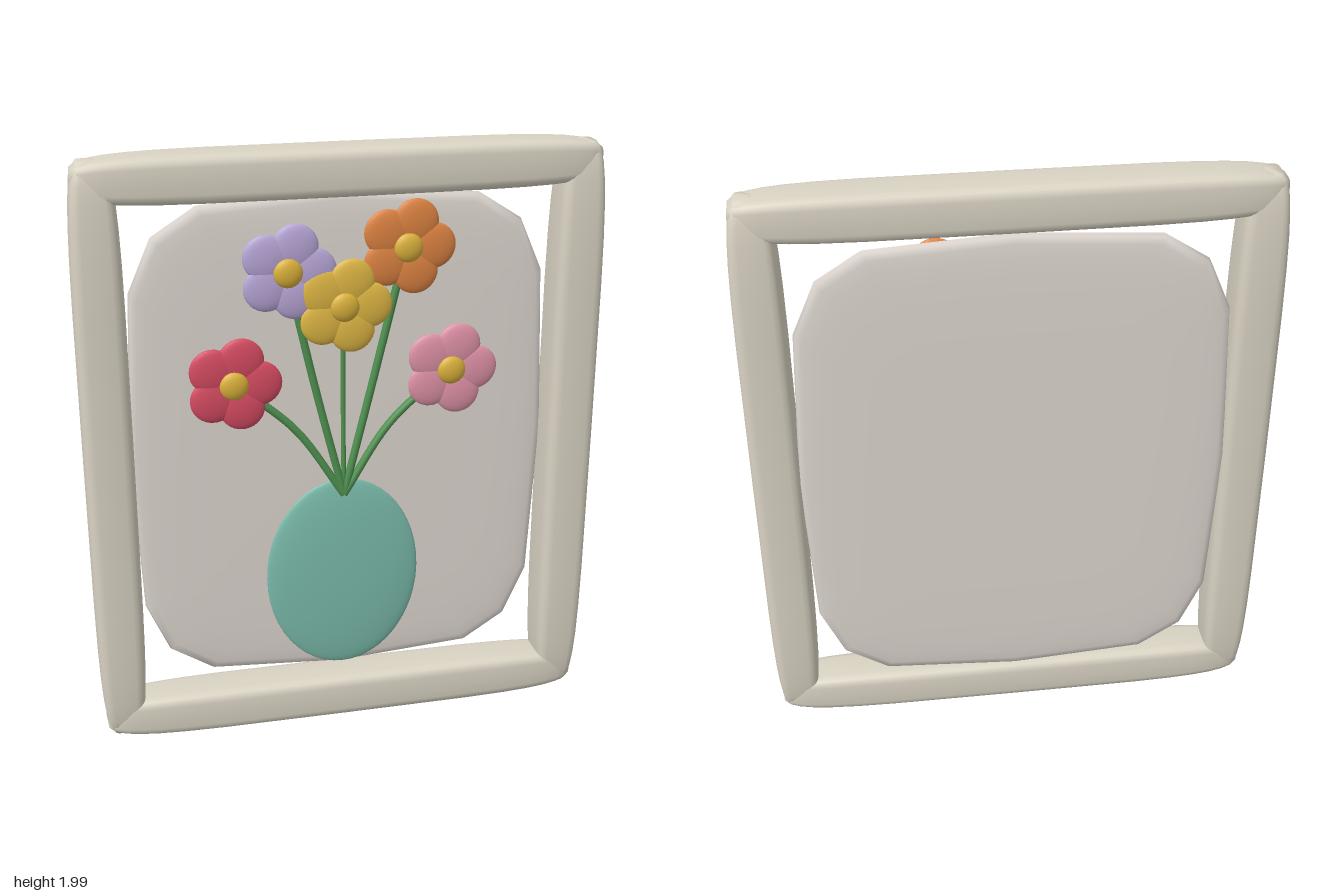
import * as THREE from 'three';
import { mergeVertices } from 'three/addons/utils/BufferGeometryUtils.js';

const spow = (v, e) => Math.sign(v) * Math.pow(Math.abs(v), e);

// Rounded block: a sphere pushed toward a box. Its poles lie on the y axis.
function roundedBlock(hx, hy, hz, axisPower, ringPower, ringSegments = 16, rows = 16) {
  const g = new THREE.SphereGeometry(1, ringSegments, rows);
  g.deleteAttribute('uv');
  g.deleteAttribute('normal');
  const p = g.attributes.position;
  for (let i = 0; i < p.count; i++) {
    const x = p.getX(i), y = p.getY(i), z = p.getZ(i);
    const r = Math.hypot(x, z);
    const s = r < 1e-6 ? 0 : Math.pow(r, axisPower);
    const d = Math.max(r, 1e-6);
    p.setXYZ(i, hx * s * spow(x / d, ringPower), hy * spow(y, axisPower), hz * s * spow(z / d, ringPower));
  }
  const merged = mergeVertices(g, 1e-5);
  merged.computeVertexNormals();
  return merged;
}

export function createModel() {
  const model = new THREE.Group();
  const material = (color) => new THREE.MeshStandardMaterial({ color });
  const add = (parent, name, geometry, mat, x = 0, y = 0, z = 0) => {
    const mesh = new THREE.Mesh(geometry, mat);
    mesh.name = name;
    mesh.position.set(x, y, z);
    parent.add(mesh);
    return mesh;
  };

  const frameMat = material(0xd9d3c3);
  const stemMat = material(0x4f9150);
  const centreMat = material(0xdcb23c);

  // Frame: four tapered bars
  const frame = new THREE.Group();
  frame.name = 'frame';
  model.add(frame);
  const upright = roundedBlock(0.08, 0.985, 0.086, 0.4, 0.45, 24);
  const rail = roundedBlock(0.078, 0.835, 0.086, 0.4, 0.45, 24).rotateZ(Math.PI / 2);
  add(frame, 'leftUpright', upright, frameMat, 0.77, 1.003);
  add(frame, 'rightUpright', upright, frameMat, -0.77, 1.003);
  add(frame, 'topRail', rail, frameMat, 0, 1.922);
  add(frame, 'bottomRail', rail, frameMat, 0, 0.084);

  // Backing panel, set toward the rear of the frame
  const panel = roundedBlock(0.7, 0.03, 0.845, 0.45, 0.45).rotateX(Math.PI / 2);
  add(model, 'backPanel', panel, material(0xded7d0), 0, 1.003, -0.053);

  // Flat oval vase
  const vase = new THREE.SphereGeometry(1, 48, 24).scale(0.263, 0.35, 0.028);
  add(model, 'vase', vase, material(0x7bbcab), 0, 0.527, -0.016);

  // Flowers: head position, petal colour, stem bend and stem radius
  const flowers = [
    { name: 'redFlower', x: -0.36, y: 1.245, z: 0, color: 0xd84c63, bend: [-0.16, 1.07], r: 0.013 },
    { name: 'lilacFlower', x: -0.18, y: 1.605, z: 0, color: 0xb9a7d8, bend: [-0.09, 1.2], r: 0.013 },
    { name: 'yellowFlower', x: 0, y: 1.485, z: 0.008, color: 0xe0b844, bend: [0, 1.15], r: 0.008 },
    { name: 'orangeFlower', x: 0.208, y: 1.665, z: 0, color: 0xdf8442, bend: [0.1, 1.22], r: 0.013 },
    { name: 'pinkFlower', x: 0.36, y: 1.245, z: 0, color: 0xe093a8, bend: [0.16, 1.07], r: 0.013 },
  ];
  const petal = new THREE.SphereGeometry(1, 24, 16).scale(0.075, 0.075, 0.018);
  const centre = new THREE.SphereGeometry(1, 24, 16).scale(0.047, 0.047, 0.02);

  for (const f of flowers) {
    const path = new THREE.CatmullRomCurve3([
      new THREE.Vector3(0, 0.83, 0.004),
      new THREE.Vector3(f.bend[0], f.bend[1], -0.008),
      new THREE.Vector3(f.x, f.y, -0.012),
    ]);
    add(model, 'stem', new THREE.TubeGeometry(path, 24, f.r, 10), stemMat);

    const head = new THREE.Group();
    head.name = f.name;
    head.position.set(f.x, f.y, f.z);
    model.add(head);
    const petalMat = material(f.color);
    for (let i = 0; i < 5; i++) {
      const a = (i * Math.PI * 2) / 5;
      add(head, 'petal', petal, petalMat, 0.083 * Math.cos(a), 0.083 * Math.sin(a));
    }
    add(head, 'flowerCentre', centre, centreMat, 0, 0, 0.014);
  }
  return model;
}
